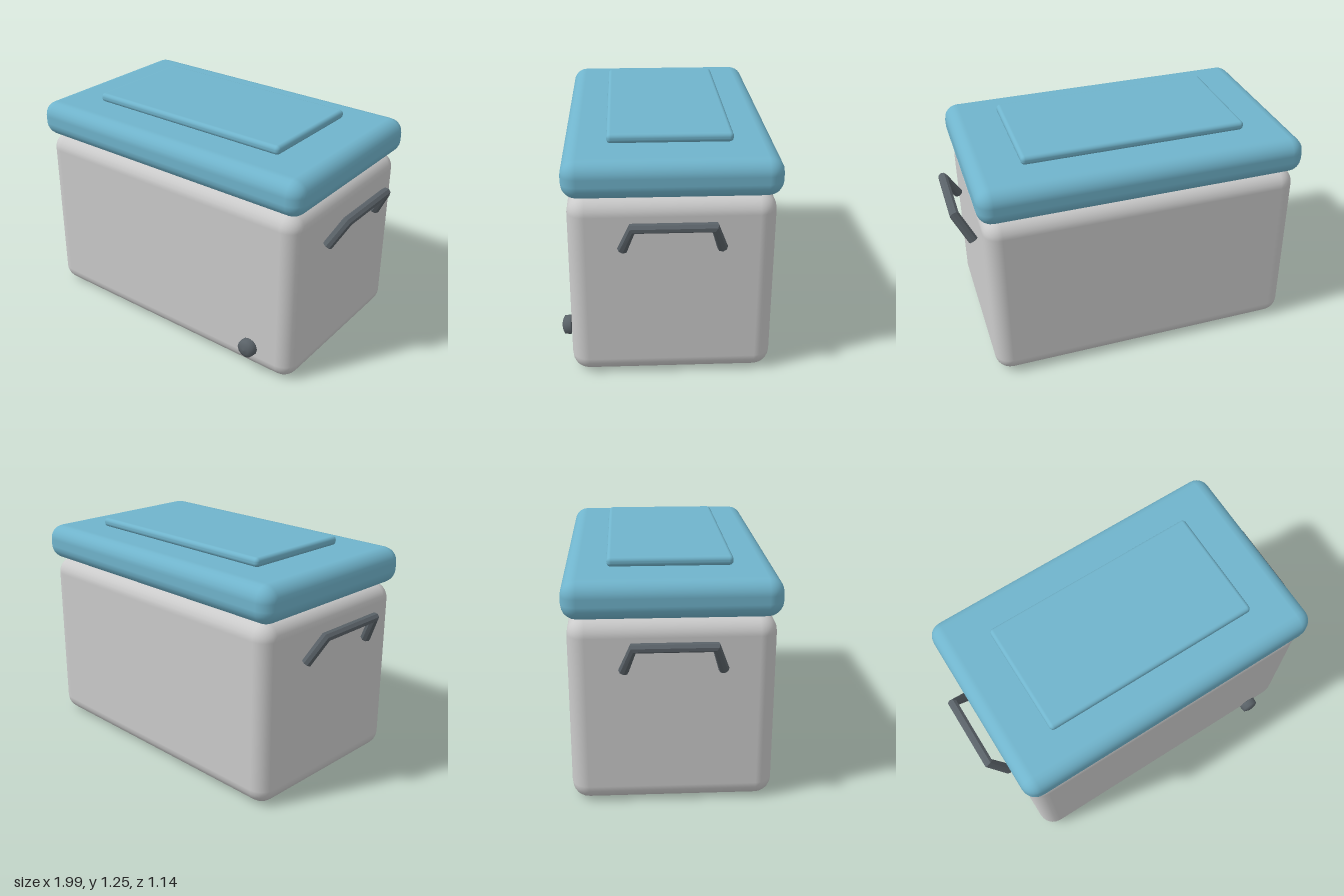
import * as THREE from 'three';
import { RoundedBoxGeometry } from 'three/addons/geometries/RoundedBoxGeometry.js';

const CENTRE_Z = -0.02;

export function createModel() {
  const model = new THREE.Group();
  const grey = new THREE.MeshStandardMaterial({ color: 0xcccccc });
  const blue = new THREE.MeshStandardMaterial({ color: 0x70b4cc });
  const dark = new THREE.MeshStandardMaterial({ color: 0x5a6268 });
  const darkFlat = new THREE.MeshStandardMaterial({ color: 0x5a6268, flatShading: true });

  const add = (name, geometry, material) => {
    const mesh = new THREE.Mesh(geometry, material);
    mesh.name = name;
    model.add(mesh);
    return mesh;
  };

  // Rounded box standing on height y
  const block = (name, w, h, d, radius, y, material) =>
    add(name, new RoundedBoxGeometry(w, h, d, 3, radius), material).position.set(0, y + h / 2, CENTRE_Z);

  block('body', 1.74, 1.0, 1.05, 0.09, 0, grey);
  block('lid', 1.79, 0.2, 1.095, 0.08, 1.0, blue);
  block('lidPanel', 1.24, 0.05, 0.645, 0.022, 1.2, blue);

  // Drain plug low on the front
  const profile = [[0, 0], [0.053, 0], [0.053, 0.002], [0.05, 0.035], [0.026, 0.046], [0, 0.05]]
    .map(([r, y]) => new THREE.Vector2(r, y));
  const plug = add('drainPlug', new THREE.LatheGeometry(profile, 12), dark);
  plug.rotation.x = Math.PI / 2;
  plug.position.set(0.62, 0.153, 0.519);

  // Bent carry handles leaning outward on both ends
  for (const side of [1, -1]) {
    add(side > 0 ? 'leftHandle' : 'rightHandle', handleGeometry(side), darkFlat);
  }
  return model;
}

// Capped eight-sided bar whose four rings follow foot, bend, bend, foot
function handleGeometry(side) {
  const radius = 0.027;
  const path = [[0.895, 0.752, 0.23], [0.973, 0.9, 0.182], [0.973, 0.9, -0.218], [0.895, 0.752, -0.266]]
    .map(([x, y, z]) => new THREE.Vector3(side * x, y, z));
  const lean = path[1].clone().sub(path[0]).setZ(0).normalize();
  const across = new THREE.Vector3(0, 0, 1).cross(lean).normalize();
  const geometry = new THREE.CylinderGeometry(1, 1, 3, 8, 3);
  const pos = geometry.attributes.position;
  const v = new THREE.Vector3();
  for (let i = 0; i < pos.count; i++) {
    v.fromBufferAttribute(pos, i);
    const k = Math.round(1.5 - v.y);
    const tangent = new THREE.Vector3();
    if (k > 0) tangent.add(path[k].clone().sub(path[k - 1]).normalize());
    if (k < 3) tangent.add(path[k + 1].clone().sub(path[k]).normalize());
    tangent.normalize().negate();
    const normal = tangent.clone().cross(across);
    const { x, z } = v;
    v.copy(path[k]).addScaledVector(across, x * radius).addScaledVector(normal, -z * radius);
    pos.setXYZ(i, v.x, v.y, v.z);
  }
  geometry.computeVertexNormals();
  return geometry;
}
